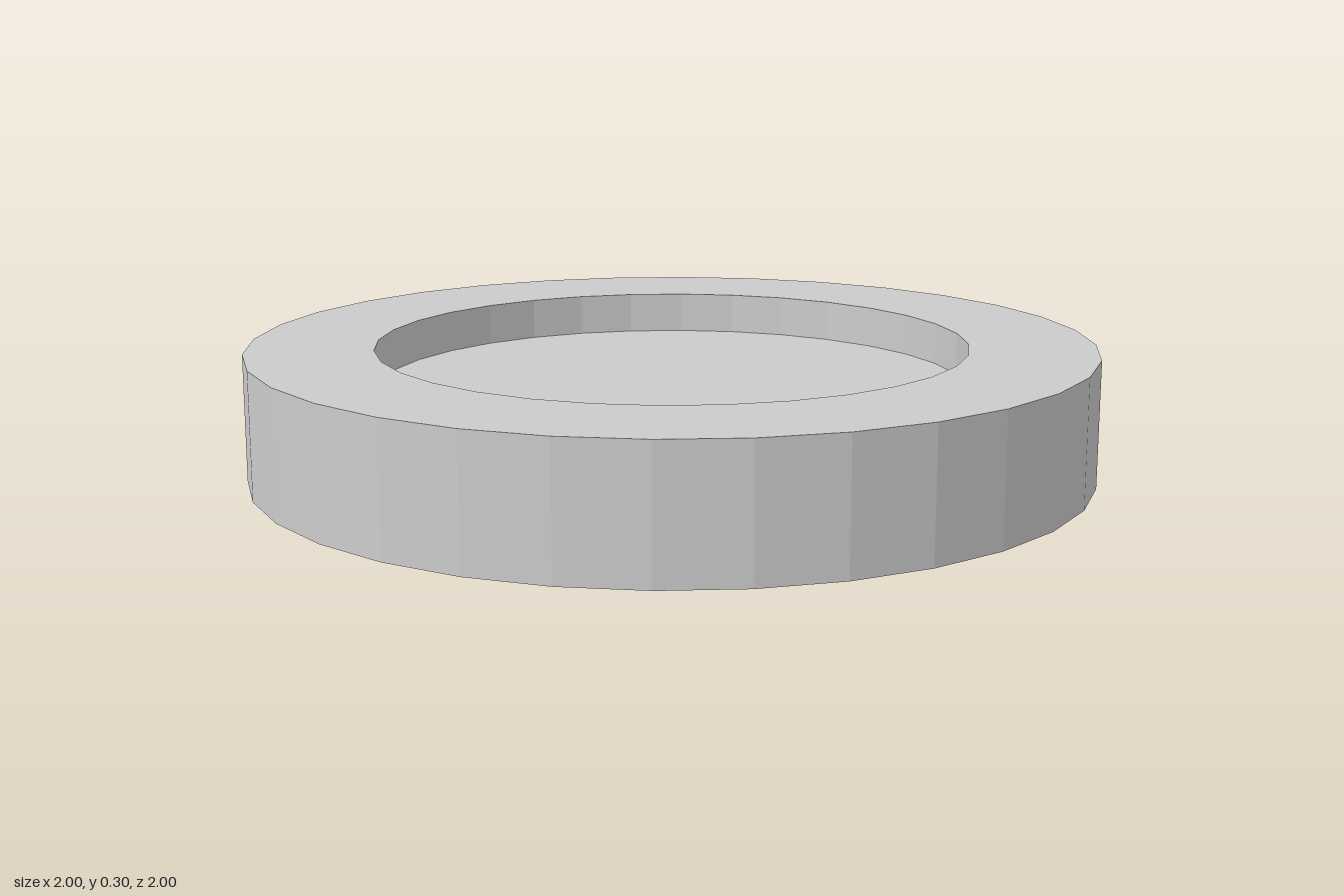
import * as THREE from 'three';

const SIDES = 32;
const OUTER = 1, INNER = 0.7, HEIGHT = 0.3;
const PLATE_BOTTOM = 0.1, PLATE_TOP = 0.2;

export function createModel() {
  const group = new THREE.Group();
  group.name = 'recessedDisc';
  const material = new THREE.MeshStandardMaterial({ color: 0xcccccc, flatShading: true });

  // Thick faceted rim, running from the plate's underside around to its top
  const profile = [
    [INNER, PLATE_BOTTOM], [INNER, 0], [OUTER, 0],
    [OUTER, HEIGHT], [INNER, HEIGHT], [INNER, PLATE_TOP],
  ].map(([r, y]) => new THREE.Vector2(r, y));
  const rimGeometry = new THREE.LatheGeometry(profile, SIDES).toNonIndexed();
  rimGeometry.computeVertexNormals();
  const rim = new THREE.Mesh(rimGeometry, material);
  rim.name = 'rim';
  group.add(rim);

  // Thin centre plate, recessed equally from both sides
  const addFace = (name, y, tilt) => {
    const face = new THREE.Mesh(new THREE.CircleGeometry(INNER, SIDES).rotateX(tilt), material);
    face.name = name;
    face.position.y = y;
    group.add(face);
  };
  addFace('plateTop', PLATE_TOP, -Math.PI / 2);
  addFace('plateUnderside', PLATE_BOTTOM, Math.PI / 2);

  return group;
}
